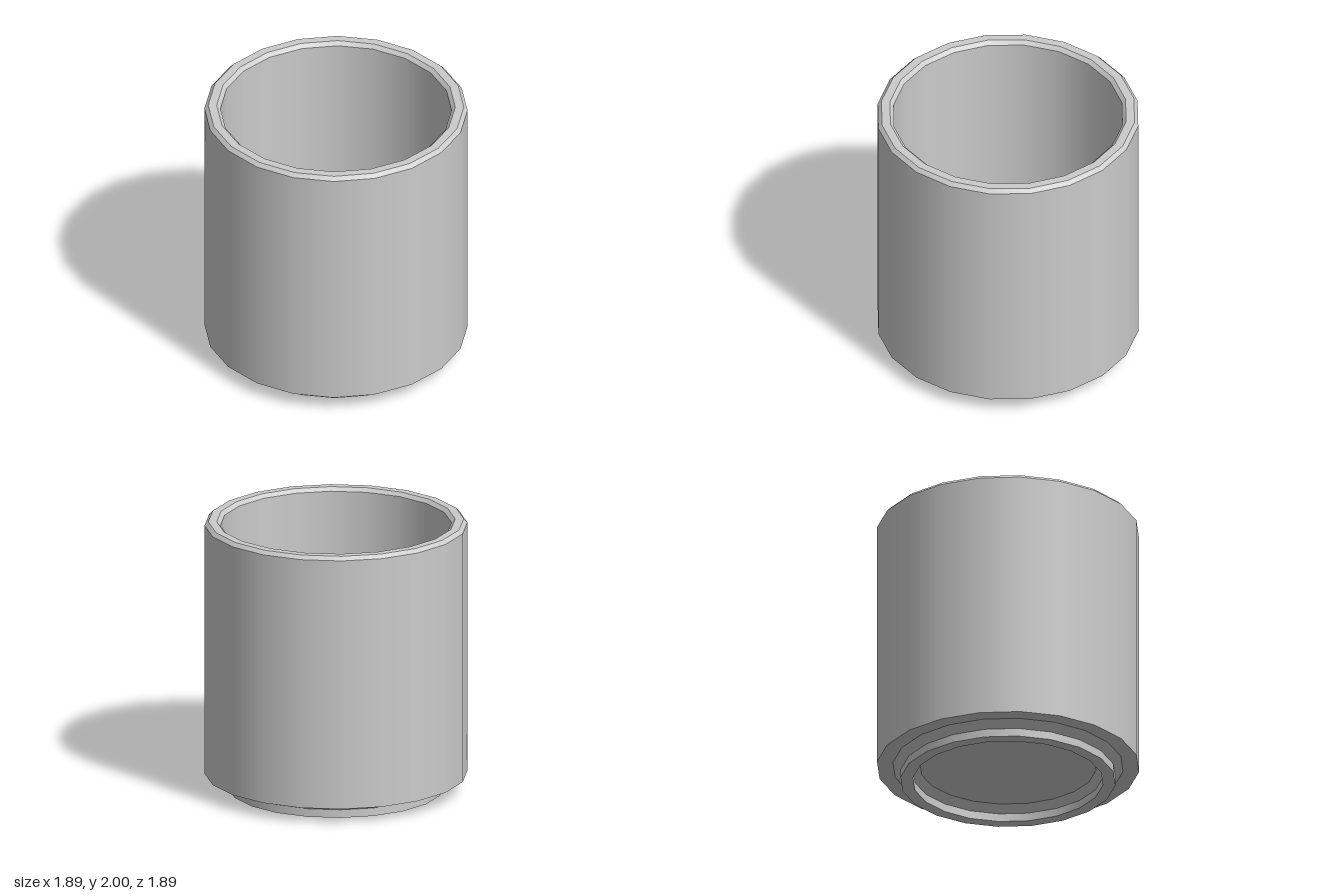
import * as THREE from 'three';
import { mergeGeometries } from 'three/addons/utils/BufferGeometryUtils.js';

const SIDES = 20;
const material = new THREE.MeshStandardMaterial({ color: 0xcccccc });

// Revolve a profile: smooth around the axis, a hard edge at every profile point.
function turned(name, profile) {
  const bands = profile.slice(1).map((end, i) =>
    new THREE.LatheGeometry(
      [new THREE.Vector2(...profile[i]), new THREE.Vector2(...end)], SIDES));
  const mesh = new THREE.Mesh(mergeGeometries(bands), material);
  mesh.name = name;
  return mesh;
}

export function createModel() {
  const cup = new THREE.Group();
  cup.name = 'cup';

  cup.add(
    // Recess under the cup: flat ceiling, chamfer, straight wall
    turned('footRecess', [[0, 0.115], [0.635, 0.115], [0.685, 0.06], [0.685, 0]]),
    // Foot ring, flaring out to the underside of the body
    turned('footRing', [[0.685, 0], [0.775, 0], [0.775, 0.06], [0.83, 0.115]]),
    // Underside and outer wall
    turned('outerWall', [[0.83, 0.115], [0.945, 0.115], [0.945, 1.973]]),
    // Rim, bevelled on both edges
    turned('rim', [[0.945, 1.973], [0.918, 2], [0.857, 2], [0.83, 1.973]]),
    // Inside wall and floor
    turned('cavity', [[0.83, 1.973], [0.83, 0.23], [0, 0.23]])
  );
  return cup;
}
